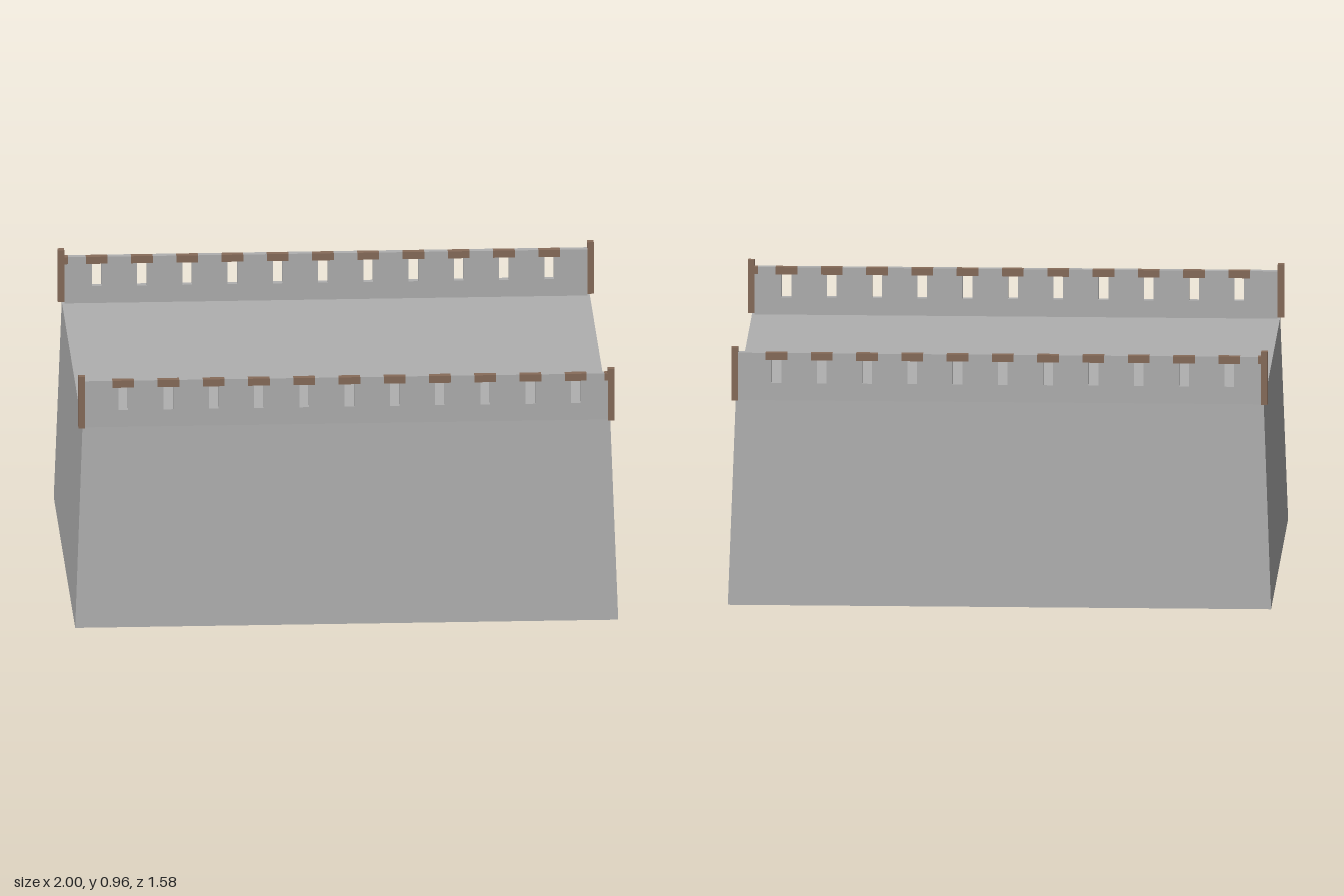
import * as THREE from 'three';

const DECK = 0.765;      // height of the deck
const TOP = 0.943;       // top of the parapets
const LINTEL = 0.916;    // underside of the lintels
const SILL = 0.83;       // bottom of the slits
const END = 0.963;       // half length of a parapet
const THICK = 0.026;
const SLITS = Array.from({ length: 11 }, (_, i) => -0.822 + i / 6);

export function createModel() {
  const stone = new THREE.MeshStandardMaterial({ color: 0xb0b0b0, side: THREE.DoubleSide });
  stone.name = 'grey stone';
  const wood = new THREE.MeshStandardMaterial({ color: 0x876c5a });
  wood.name = 'brown wood';

  const model = new THREE.Group();
  model.name = 'battlement';

  const add = (parent, name, geometry, material, x = 0, y = 0, z = 0) => {
    const mesh = new THREE.Mesh(geometry, material);
    mesh.name = name;
    mesh.position.set(x, y, z);
    parent.add(mesh);
  };

  // Tapered hollow base: a box with a narrowed top and no floor
  const box = new THREE.BoxGeometry(2, DECK, 1.58).translate(0, DECK / 2, 0);
  const p = box.attributes.position;
  for (let i = 0; i < p.count; i++) {
    if (p.getY(i) > DECK / 2) p.setXYZ(i, Math.sign(p.getX(i)) * 0.972, DECK, Math.sign(p.getZ(i)) * 0.763);
  }
  const indices = Array.from(box.index.array);
  indices.splice(18, 6);
  box.setIndex(indices);
  box.clearGroups();
  box.computeVertexNormals();
  add(model, 'base', box, stone);

  // Parapet outline with a T-shaped slot for each slit and its lintel
  const outline = [[-END, DECK], [END, DECK], [END, LINTEL], [0.95, LINTEL], [0.95, TOP]];
  for (const x of [...SLITS].reverse()) {
    outline.push(
      [x + 0.04, TOP], [x + 0.04, LINTEL], [x + 0.018, LINTEL], [x + 0.018, SILL],
      [x - 0.018, SILL], [x - 0.018, LINTEL], [x - 0.04, LINTEL], [x - 0.04, TOP],
    );
  }
  outline.push([-END, TOP]);
  const shape = new THREE.Shape(outline.map(([x, y]) => new THREE.Vector2(x, y)));
  const wall = new THREE.ExtrudeGeometry(shape, { depth: THICK, bevelEnabled: false });
  const lintel = new THREE.BoxGeometry(0.08, TOP - LINTEL, THICK);
  const endLintel = new THREE.BoxGeometry(END - 0.95, TOP - LINTEL, THICK);
  const post = new THREE.BoxGeometry(0.024, 0.199, 0.025);

  // The back parapet is the front one turned half round
  for (const side of ['front', 'back']) {
    const parapet = new THREE.Group();
    parapet.name = side + 'Parapet';
    const mid = (TOP + LINTEL) / 2;
    const z = 0.737 + THICK / 2;
    add(parapet, 'slittedWall', wall, stone, 0, 0, 0.737);
    for (const x of SLITS) add(parapet, 'lintel', lintel, wood, x, mid, z);
    add(parapet, 'endLintel', endLintel, wood, (END + 0.95) / 2, mid, z);
    for (const s of [-1, 1]) add(parapet, 'cornerPost', post, wood, s * 0.975, 0.8655, 0.766);
    if (side === 'back') parapet.rotation.y = Math.PI;
    model.add(parapet);
  }
  return model;
}
